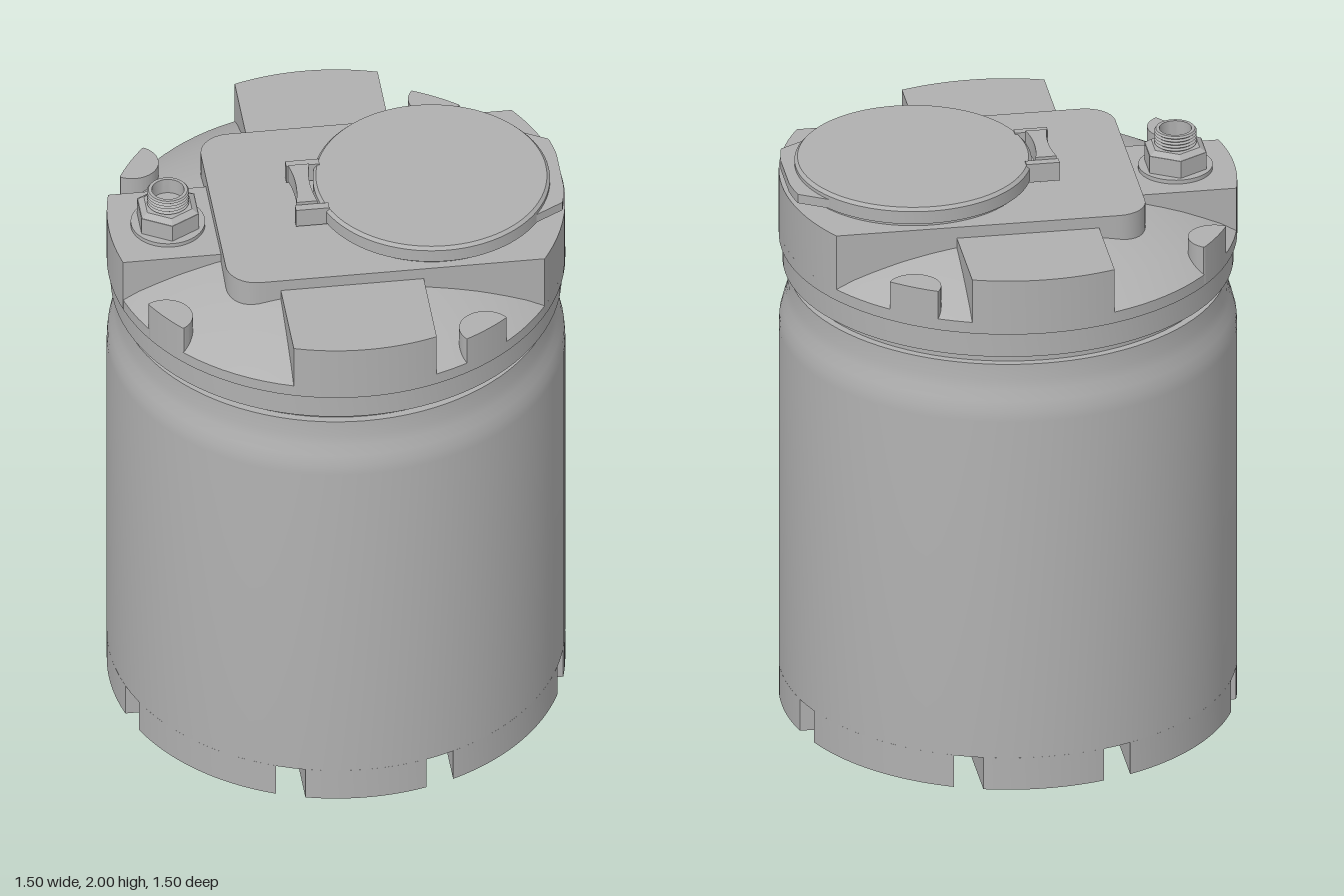
import * as THREE from 'three';
import { toCreasedNormals } from 'three/addons/utils/BufferGeometryUtils.js';

const R = 0.75; // outer radius of the tank
const grey = new THREE.MeshStandardMaterial({ color: 0xb0b0b0 });
grey.name = 'grey plastic';

function add(parent, name, geometry, x = 0, y = 0, z = 0) {
  const mesh = new THREE.Mesh(toCreasedNormals(geometry, 0.5), grey);
  mesh.name = name;
  mesh.position.set(x, y, z);
  parent.add(mesh);
  return mesh;
}

const lathe = (points, segments = 96) =>
  new THREE.LatheGeometry(points.map(([r, y]) => new THREE.Vector2(r, y)), segments);

// Upright prism between z = low(x) and z = high(x), trimmed to the round outline of the tank
function slab(x0, x1, low, high, y0, y1, corners = [], radius = R) {
  const a = Math.max(x0, -radius), b = Math.min(x1, radius);
  const xs = [];
  for (let i = 0; i <= 48; i++) xs.push((a + b) / 2 - ((b - a) / 2) * Math.cos((i / 48) * Math.PI));
  for (const z of corners) {
    const c = Math.sqrt(radius * radius - z * z);
    for (const x of [-c, c]) if (x > a && x < b) xs.push(x);
  }
  xs.sort((p, q) => p - q);
  const near = [], far = [];
  for (const x of xs) {
    const edge = Math.sqrt(Math.max(0, radius * radius - x * x));
    const lo = Math.max(low(x), -edge), hi = Math.min(high(x), edge);
    if (hi < lo - 1e-6) continue;
    near.push(new THREE.Vector2(x, -hi));
    if (hi - lo > 1e-4) far.unshift(new THREE.Vector2(x, -lo));
  }
  const geometry = new THREE.ExtrudeGeometry(new THREE.Shape([...near, ...far]), {
    depth: y1 - y0, bevelEnabled: false,
  });
  return geometry.rotateX(-Math.PI / 2).translate(0, y0, 0);
}

const box = (x0, x1, z0, z1, y0, y1, radius) =>
  slab(x0, x1, () => z0, () => z1, y0, y1, [z0, z1].filter((z) => Math.abs(z) < R), radius);

export function createModel() {
  const model = new THREE.Group();
  model.name = 'storageTank';

  // Nine feet separated by crossing drainage channels
  const feet = new THREE.Group();
  feet.name = 'feet';
  model.add(feet);
  const spans = [[-R, -0.292], [-0.2, 0.2], [0.2 , R]];
  spans[2][0] = 0.292;
  for (const [x0, x1] of spans)
    for (const [z0, z1] of spans) add(feet, 'foot', box(x0, x1, z0, z1, 0, 0.116));

  // Wall with shoulder and neck
  add(model, 'tankBody', lathe([
    [0, 0.115], [R, 0.115], [R, 1.34], [0.747, 1.375], [0.738, 1.41], [0.727, 1.445],
    [0.72, 1.48], [0.717, 1.535], [0.692, 1.535], [0.692, 1.59],
  ]));
  add(model, 'neckRing', lathe([
    [0.69, 1.573], [0.738, 1.573], [0.738, 1.662],
  ]));

  // Domed lid
  add(model, 'lidDome', lathe([
    [0.7, 1.66], [R, 1.66], [R, 1.7], [0.7, 1.73], [0.64, 1.757], [0.58, 1.782], [0.52, 1.803],
    [0.46, 1.822], [0.4, 1.835], [0, 1.845],
  ]));
  add(model, 'frontLidBlock', box(-0.237, 0.235, 0.38, R, 1.662, 1.855));
  add(model, 'backLidBlock', box(-0.237, 0.235, -R, -0.38, 1.662, 1.855));
  add(model, 'fittingBlock', box(-R, -0.38, -0.182, 0.182, 1.662, 1.855));

  // Raised deck with two rounded corners
  const deckEdge = (x) => (x < -0.305 ? 0.3 + Math.sqrt(Math.max(0, 0.01 - (x + 0.305) ** 2)) : 0.4);
  add(model, 'accessDeck', slab(-0.405, R, (x) => -deckEdge(x), deckEdge, 1.662, 1.895, [0.4]));

  // Rim posts
  for (const [cx, cz] of [[0.41, 0.615], [0.41, -0.615], [-0.617, 0.413], [-0.617, -0.413]]) {
    const r = 0.087;
    const half = (x) => Math.sqrt(Math.max(0, r * r - (x - cx) ** 2));
    add(model, 'rimPost', slab(cx - r, cx + r, (x) => cz - half(x), (x) => cz + half(x), 1.665, 1.8));
  }

  // Hinged round cover
  const cover = new THREE.Group();
  cover.name = 'accessCover';
  model.add(cover);
  add(cover, 'coverCollar', lathe([[0.37, 1.89], [0.37, 1.915]]), 0.315);
  add(cover, 'coverDisc', lathe([
    [0, 1.91], [0.388, 1.91], [0.388, 1.955], [0.378, 1.966], [0, 1.966],
  ]), 0.315);
  const tabEdge = (x) => 0.22 - (x - 0.64) * 0.58;
  add(cover, 'liftTab', slab(0.55, 0.74, (x) => -tabEdge(x), tabEdge, 1.911, 1.943, [], 0.745));
  for (const s of [-1, 1])
    add(cover, 'hingeLug', new THREE.BoxGeometry(0.11, 0.066, 0.028), -0.095, 1.938, s * 0.118);
  const waist = (z) => 0.012 * (1 - (z / 0.1) ** 2);
  const barrel = new THREE.BoxGeometry(0.07, 0.066, 0.2, 1, 1, 12);
  const p = barrel.attributes.position;
  for (let i = 0; i < p.count; i++) p.setX(i, p.getX(i) - Math.sign(p.getX(i)) * waist(p.getZ(i)));
  add(cover, 'hingeBarrel', barrel, -0.11, 1.946, 0);

  // Threaded pipe fitting
  const fitting = new THREE.Group();
  fitting.name = 'pipeFitting';
  fitting.position.set(-0.555, 0, 0);
  model.add(fitting);
  add(fitting, 'washer', new THREE.CylinderGeometry(0.122, 0.122, 0.015, 48), 0, 1.8615, 0);
  add(fitting, 'hexNut', new THREE.CylinderGeometry(0.109, 0.109, 0.062, 6), 0, 1.899, 0);
  add(fitting, 'nutChamfer', new THREE.CylinderGeometry(0.085, 0.107, 0.014, 6), 0, 1.937, 0);
  const thread = [[0.062, 1.93]];
  for (let i = 0; i < 5; i++) {
    const y = 1.944 + i * 0.011;
    thread.push([0.062, y], [0.069, y + 0.0055]);
  }
  thread.push([0.064, 2], [0.053, 2], [0.053, 1.945], [0, 1.945]);
  add(fitting, 'threadedPipe', lathe(thread, 40));

  return model;
}
